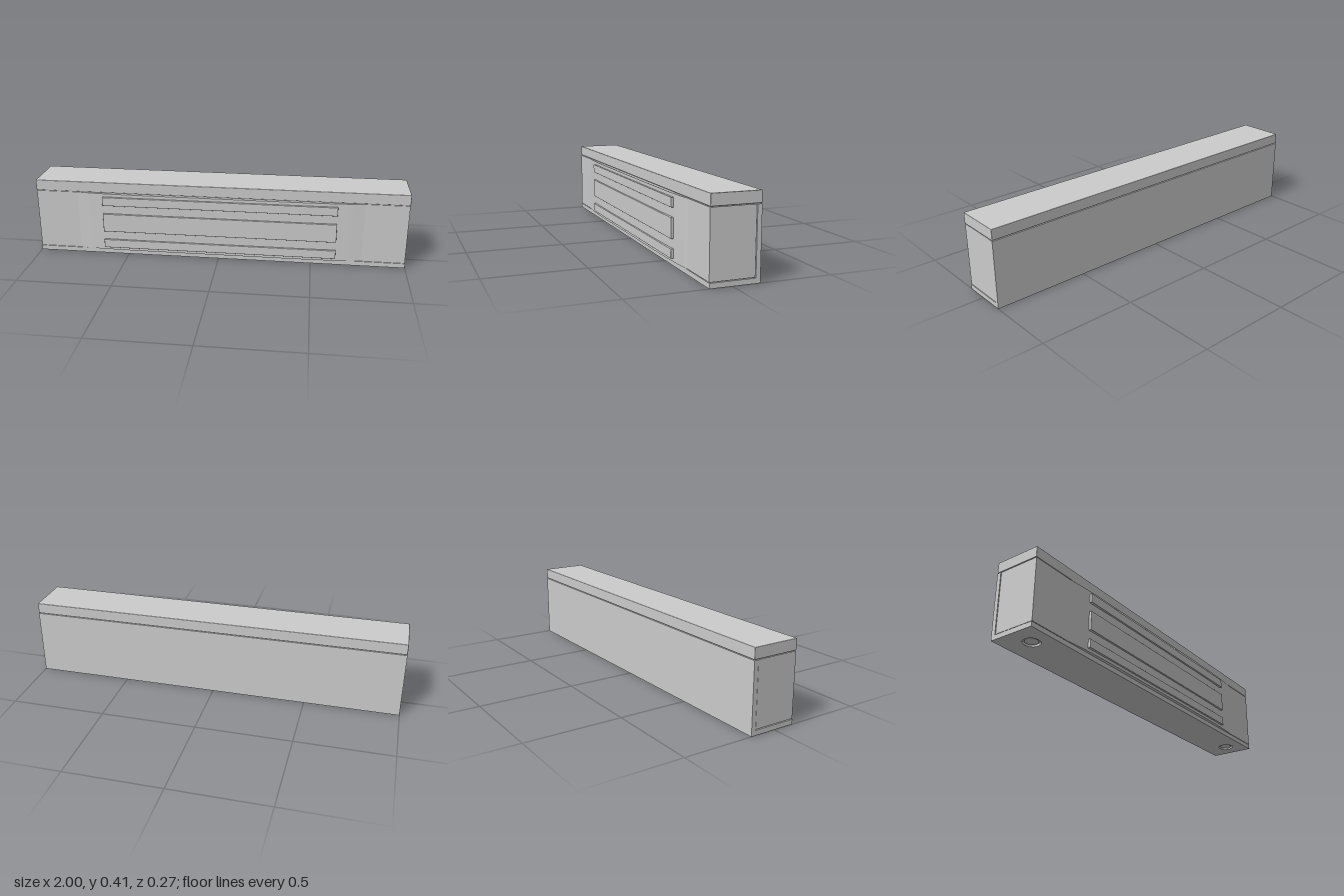
import * as THREE from 'three';
import { RoundedBoxGeometry } from 'three/addons/geometries/RoundedBoxGeometry.js';

const material = new THREE.MeshStandardMaterial({ color: 0xcccccc });
const BACK = -0.135, FRONT = 0.111;

export function createModel() {
  const group = new THREE.Group();

  const add = (name, geometry) => {
    const mesh = new THREE.Mesh(geometry, material);
    mesh.name = name;
    group.add(mesh);
    return mesh;
  };
  // Box given by its limits, with an optional small edge radius
  const block = (name, [x0, x1], [y0, y1], [z0, z1], r = 0) => {
    const size = [x1 - x0, y1 - y0, z1 - z0];
    const geometry = r ? new RoundedBoxGeometry(...size, 2, r) : new THREE.BoxGeometry(...size);
    add(name, geometry).position.set((x0 + x1) / 2, (y0 + y1) / 2, (z0 + z1) / 2);
  };
  // Plan outline (x, -z) raised from y0 to y1
  const raise = (name, shape, y0, y1) => {
    const geometry = new THREE.ExtrudeGeometry(shape, { depth: y1 - y0, bevelEnabled: false, curveSegments: 24 });
    add(name, geometry.rotateX(-Math.PI / 2)).position.y = y0;
  };

  // Top slab, back panel and main body, parted by fine grooves
  block('topSlab', [-1, 1], [0.356, 0.413], [BACK, FRONT], 0.003);
  block('backPanel', [-1, 1], [0.012, 0.353], [BACK, -0.113]);
  block('body', [-0.998, 0.998], [0.028, 0.353], [-0.11, FRONT]);
  block('core', [-0.992, 0.992], [0.02, 0.36], [-0.125, 0.106]);

  // Base with two round recesses underneath
  block('baseUpper', [-1, 1], [0.012, 0.025], [-0.113, FRONT]);
  const base = new THREE.Shape([
    new THREE.Vector2(-1, -FRONT), new THREE.Vector2(1, -FRONT),
    new THREE.Vector2(1, -BACK), new THREE.Vector2(-1, -BACK),
  ]);
  for (const x of [-0.885, 0.885]) {
    base.holes.push(new THREE.Path().absarc(x, -0.005, 0.043, 0, Math.PI * 2, true));
    // Plug inside each recess
    const plug = add('recessPlug', new THREE.CylinderGeometry(0.033, 0.033, 0.008, 32));
    plug.position.set(x, 0.008, 0.005);
  }
  raise('baseLower', base, 0, 0.012);

  // Gently bowed front panel
  const bow = [new THREE.Vector2(-0.77, -0.1)];
  for (let i = 0; i <= 48; i++) {
    const t = -1 + i / 24;
    bow.push(new THREE.Vector2(0.77 * t, -(FRONT + 0.015 * (1 - t ** 6))));
  }
  bow.push(new THREE.Vector2(0.77, -0.1));
  raise('bowedPanel', new THREE.Shape(bow), 0.027, 0.353);

  // Three raised bars
  for (const y of [[0.043, 0.09], [0.138, 0.24], [0.288, 0.336]]) {
    block('frontBar', [-0.63, 0.63], y, [0.11, 0.135], 0.002);
  }
  return group;
}
